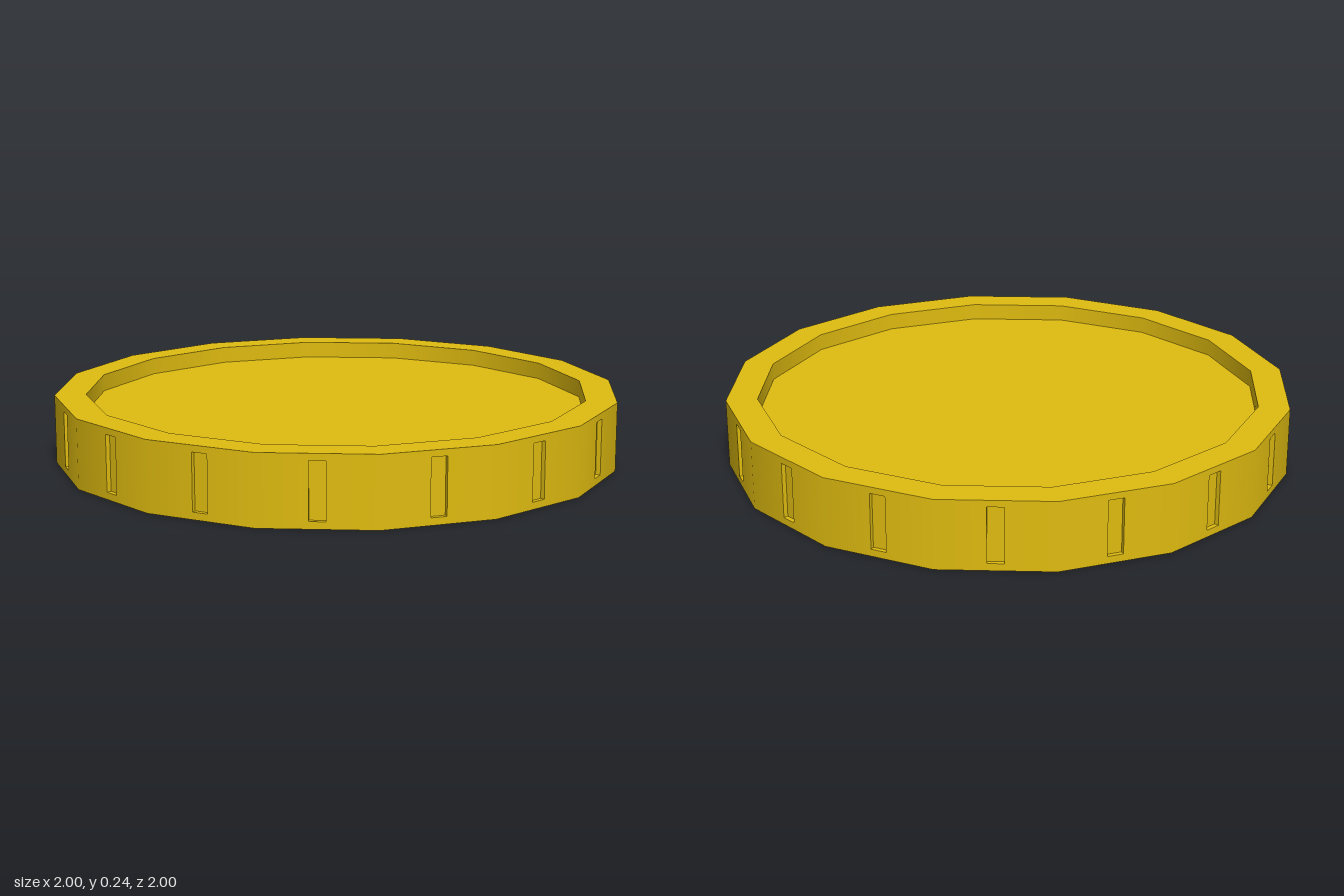
import * as THREE from 'three';
import { mergeGeometries } from 'three/addons/utils/BufferGeometryUtils.js';

const SIDES = 16, R = 1, INNER = 0.89, H = 0.243, RECESS = 0.06;
const SLOT = { w: 0.055, y0: 0.025, y1: 0.22, depth: 0.016 };
const STEP = (Math.PI * 2) / SIDES;
const APOTHEM = R * Math.cos(STEP / 2);

// One flat side of the edge with a slot opening, shaded as a round wall
function edgePanel() {
  const half = R * Math.sin(STEP / 2), w = SLOT.w / 2;
  const rect = (P, x, y0, y1) => new P([[-x, y0], [x, y0], [x, y1], [-x, y1]].map(p => new THREE.Vector2(...p)));
  const shape = rect(THREE.Shape, half, 0, H);
  shape.holes.push(rect(THREE.Path, w, SLOT.y0, SLOT.y1));
  const g = new THREE.ShapeGeometry(shape).translate(0, 0, APOTHEM);
  const { position: p, normal: n } = g.attributes;
  for (let i = 0; i < p.count; i++) {
    const len = Math.hypot(p.getX(i), p.getZ(i));
    n.setXYZ(i, p.getX(i) / len, 0, p.getZ(i) / len);
  }
  return g;
}

// Inside of a slot: a box turned inside out, without its outer face
function slotPocket() {
  const g = new THREE.BoxGeometry(SLOT.w, SLOT.y1 - SLOT.y0, SLOT.depth);
  const idx = Array.from(g.index.array);
  idx.splice(24, 6);
  g.setIndex(idx.reverse());
  g.clearGroups();
  g.attributes.normal.array.forEach((v, i, a) => { a[i] = -v; });
  return g.translate(0, (SLOT.y0 + SLOT.y1) / 2, APOTHEM - SLOT.depth / 2);
}

// Repeat a side piece around the edge
function around(make) {
  return mergeGeometries(Array.from({ length: SIDES }, (_, i) => make().rotateY((i + 0.5) * STEP)));
}

// Ring surface swept between two profile points
function band(r0, y0, r1, y1) {
  return new THREE.LatheGeometry([new THREE.Vector2(r0, y0), new THREE.Vector2(r1, y1)], SIDES);
}

export function createModel() {
  const group = new THREE.Group();
  group.name = 'coin';
  const gold = new THREE.MeshStandardMaterial({ color: 0xdfbb10 });
  const add = (name, geometry) => {
    const mesh = new THREE.Mesh(geometry, gold);
    mesh.name = name;
    group.add(mesh);
  };

  // Edge
  add('edgeWall', around(edgePanel));
  add('edgeSlots', around(slotPocket));

  // Raised rims and sunken faces on both sides
  add('topRim', mergeGeometries([band(R, H, INNER, H), band(INNER, H, INNER, H - RECESS)]));
  add('topFace', band(INNER, H - RECESS, 0, H - RECESS));
  add('bottomRim', mergeGeometries([band(INNER, RECESS, INNER, 0), band(INNER, 0, R, 0)]));
  add('bottomFace', band(0, RECESS, INNER, RECESS));
  return group;
}
